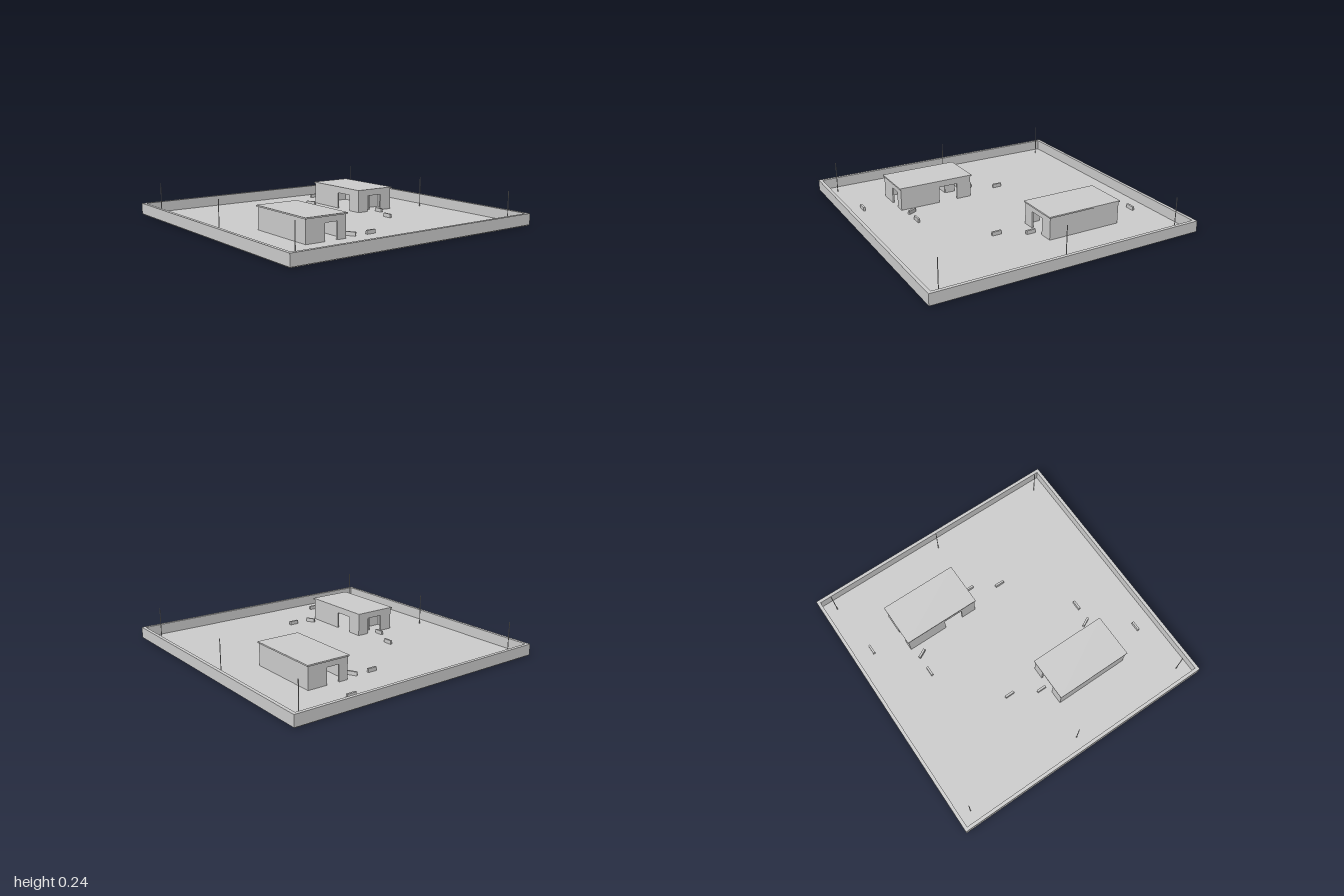
import * as THREE from 'three';

const material = new THREE.MeshStandardMaterial({ color: 0xcccccc, flatShading: true });
const FLOOR = 0.01;

// Box standing on y, centred on x and z
function box(parent, name, w, h, d, x, y, z, turn = 0) {
  const mesh = new THREE.Mesh(new THREE.BoxGeometry(w, h, d), material);
  mesh.name = name;
  mesh.position.set(x, y + h / 2, z);
  mesh.rotation.y = turn;
  parent.add(mesh);
  return mesh;
}

// Upright wall along x with an optional doorway cut up from its base
function wall(parent, name, length, height, thick, door) {
  const a = length / 2;
  const pts = [[-a, 0]];
  if (door) {
    const l = door.at - door.width / 2, r = door.at + door.width / 2;
    pts.push([l, 0], [l, door.height], [r, door.height], [r, 0]);
  }
  pts.push([a, 0], [a, height], [-a, height]);
  const shape = new THREE.Shape(pts.map(([x, y]) => new THREE.Vector2(x, y)));
  const geo = new THREE.ExtrudeGeometry(shape, { depth: thick, bevelEnabled: false });
  geo.translate(0, 0, -thick);
  const mesh = new THREE.Mesh(geo, material);
  mesh.name = name;
  parent.add(mesh);
  return mesh;
}

function createBuilding() {
  const g = new THREE.Group();
  g.name = 'building';
  const w = 0.56, d = 0.312, h = 0.16, t = 0.012, doorH = 0.12;

  // Outer walls, outer face at the local z = 0 of each wall
  wall(g, 'frontWall', w, h, t, { at: 0.0955, width: 0.145, height: doorH })
    .position.set(0, 0, d / 2);
  const back = wall(g, 'backWall', w, h, t);
  back.position.z = -d / 2;
  back.rotation.y = Math.PI;
  const left = wall(g, 'leftEndWall', d - 2 * t, h, t, { at: -0.005, width: 0.125, height: doorH });
  left.position.x = w / 2;
  left.rotation.y = Math.PI / 2;
  const right = wall(g, 'rightEndWall', d - 2 * t, h, t, { at: 0.04, width: 0.095, height: doorH });
  right.position.x = -w / 2;
  right.rotation.y = -Math.PI / 2;

  // Inner partitions
  box(g, 'crossPartition', t, h, 0.15, 0.143, 0, -0.069);
  box(g, 'lengthPartition', 0.08, h, t, 0.18, 0, 0.005);

  // Thin overhanging roof
  box(g, 'roof', 0.577, 0.01, 0.326, 0, h, 0);
  return g;
}

// One half of the yard: a building, low barriers and three poles
function createHalf() {
  const g = new THREE.Group();
  g.name = 'yardHalf';

  const building = createBuilding();
  building.position.set(-0.33, FLOOR, -0.47);
  g.add(building);

  const barriers = [
    [-0.847, -0.472, Math.PI / 2],
    [-0.588, -0.093, Math.PI / 2],
    [-0.563, -0.238, 0.48],
    [0.002, -0.471, 0],
    [0.213, -0.376, 0],
  ];
  for (const [x, z, turn] of barriers) box(g, 'barrier', 0.07, 0.027, 0.015, x, FLOOR, z, turn);

  for (const x of [-0.893, 0, 0.893]) {
    const pole = new THREE.Mesh(new THREE.CylinderGeometry(0.003, 0.003, 0.23, 8), material);
    pole.name = 'pole';
    pole.position.set(x, FLOOR + 0.115, -0.893);
    g.add(pole);
  }
  return g;
}

export function createModel() {
  const model = new THREE.Group();
  model.name = 'walledYard';

  // Floor slab
  box(model, 'floor', 1.985, FLOOR, 1.985, 0, 0, 0);

  // Perimeter walls
  const t = 0.024, h = 0.08, y = 0.006;
  for (const s of [-1, 1]) {
    box(model, 'perimeterWall', 2, h, t, 0, y, s * (1 - t / 2));
    box(model, 'perimeterWall', t, h, 2 - 2 * t, s * (1 - t / 2), y, 0);
  }

  // Two halves, one turned half a circle
  for (const turn of [0, Math.PI]) {
    const half = createHalf();
    half.rotation.y = turn;
    half.position.set(-0.003, 0, -0.003);
    model.add(half);
  }
  return model;
}
